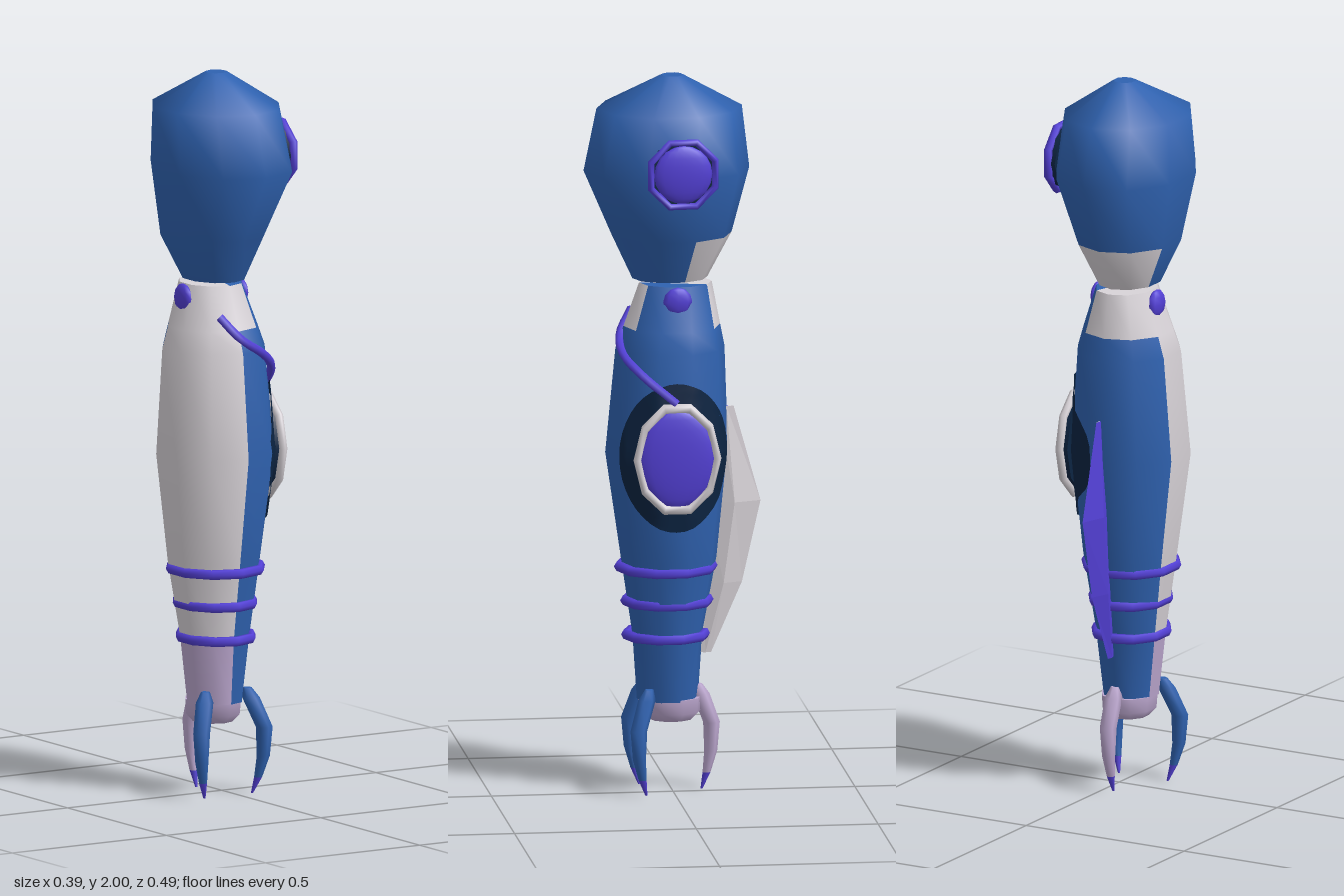
import * as THREE from 'three';

const mat = (name, color) => Object.assign(new THREE.MeshStandardMaterial({ color }), { name });

// Rows run top to bottom: [y, centreX, centreZ, radiusX, radiusZ].
// pick(row, facet) returns a material index; facet 0 starts at +z and turns toward +x.
function loft(rows, n, pick = () => 0, flat = false) {
  const pos = [], lists = [];
  const add = (m, ...ids) => (lists[m] ??= []).push(...ids);
  const ring = ([y, cx, cz, rx, rz]) => {
    for (let i = 0; i < n; i++) {
      const a = (i / n) * Math.PI * 2;
      pos.push(cx + rx * Math.sin(a), y, cz + rz * Math.cos(a));
    }
  };
  rows.forEach(ring);
  for (let r = 0; r < rows.length - 1; r++) {
    for (let i = 0; i < n; i++) {
      const j = (i + 1) % n, a = r * n + i, b = a + n, c = (r + 1) * n + j, d = r * n + j;
      add(pick(r, i), a, b, c, a, c, d);
    }
  }
  // end caps
  [rows[0], rows[rows.length - 1]].forEach((row, k) => {
    const base = pos.length / 3;
    ring(row);
    for (let i = 1; i < n - 1; i++) {
      const m = pick(k ? rows.length - 2 : 0, i);
      if (k) add(m, base, base + i + 1, base + i);
      else add(m, base, base + i, base + i + 1);
    }
  });
  let geo = new THREE.BufferGeometry();
  geo.setAttribute('position', new THREE.Float32BufferAttribute(pos, 3));
  const index = [];
  lists.forEach((l, m) => { geo.addGroup(index.length, l.length, m); index.push(...l); });
  geo.setIndex(index);
  if (flat) geo = geo.toNonIndexed();
  geo.computeVertexNormals();
  return geo;
}

export function createModel() {
  const group = new THREE.Group();
  group.name = 'mechanicalArm';
  const blue = mat('blue', 0x2f62b0), white = mat('paleGrey', 0xd8d3d8), purple = mat('purple', 0x5340d6);
  const lavender = mat('lavender', 0xbda8d0), navy = mat('navy', 0x0c2442);
  const add = (name, geo, material, x = 0, y = 0, z = 0) => {
    const m = new THREE.Mesh(geo, material);
    m.name = name;
    m.position.set(x, y, z);
    group.add(m);
    return m;
  };

  // Shoulder pod, with a pale patch low on the back
  const shoulder = [
    [2.0, -0.018, 0, 0.03, 0.03], [1.91, -0.024, 0.008, 0.172, 0.2], [1.74, -0.012, 0.017, 0.189, 0.228],
    [1.555, -0.033, 0, 0.14, 0.165], [1.432, -0.032, 0.005, 0.081, 0.103],
  ];
  add('shoulder', loft(shoulder, 10, (r, i) => (r === 3 && i >= 3 && i <= 6 ? 1 : 0)), [blue, white]);

  // Forearm: pale outer half, pale collar, lavender lower strip
  const forearm = [
    [1.42, -0.031, -0.01, 0.083, 0.1], [1.3, -0.03, 0, 0.124, 0.133], [1.24, -0.03, 0.005, 0.143, 0.15],
    [0.95, -0.03, 0.014, 0.166, 0.169], [0.655, -0.03, 0.007, 0.13, 0.133], [0.44, -0.03, 0.012, 0.098, 0.096],
    [0.26, -0.031, 0.012, 0.076, 0.084],
  ];
  add('forearm', loft(forearm, 10, (r, i) => {
    if (r === 0) return i >= 1 && i <= 3 ? 0 : 1;
    if (i < 7) return 0;
    return r === 5 ? 2 : 1;
  }), [blue, white, lavender]);

  // Wrist cup
  add('wrist', loft([[0.265, -0.031, 0.005, 0.076, 0.088], [0.225, -0.031, 0.003, 0.074, 0.084],
    [0.203, -0.031, 0.002, 0.055, 0.06]], 10), lavender);

  // Elbow pivots
  for (const x of [-0.122, 0.06]) {
    const g = new THREE.SphereGeometry(0.04, 8, 6);
    g.scale(0.4, 1, 1);
    add('elbowPivot', g, purple, x, 1.382, -0.005);
  }

  // Bracelets: [y, centreZ, radiusX, radiusZ]
  for (const [y, cz, rx, rz] of [[0.63, 0.015, 0.124, 0.129], [0.535, 0.012, 0.104, 0.116], [0.44, 0.016, 0.098, 0.11]]) {
    const g = new THREE.TorusGeometry(1, 0.12, 6, 10);
    g.rotateZ(Math.PI / 2).rotateX(Math.PI / 2).scale(rx, 0.12, rz);
    add('bracelet', g, purple, -0.03, y, cz);
  }

  // Dark oval hugging the +x side of the forearm
  const sideX = (y, z) => {
    let k = 0;
    while (k < forearm.length - 2 && forearm[k + 1][0] > y) k++;
    const p = forearm[k], q = forearm[k + 1], t = (p[0] - y) / (p[0] - q[0]);
    const [, cx, cz, rx, rz] = p.map((v, i) => v + (q[i] - v) * t);
    const c = THREE.MathUtils.clamp((z - cz) / rz / 1.02, -1, 1);
    const step = Math.PI / 5, a = Math.min(Math.floor(Math.acos(c) / step), 4) * step;
    const f = (Math.cos(a) - c) / (Math.cos(a) - Math.cos(a + step));
    return cx + 0.005 + rx * 1.01 * (Math.sin(a) + (Math.sin(a + step) - Math.sin(a)) * f);
  };
  const oval = new THREE.RingGeometry(0.3, 1, 40, 12);
  oval.rotateY(Math.PI / 2).scale(1, 0.208, 0.152);
  const op = oval.attributes.position;
  for (let i = 0; i < op.count; i++) op.setX(i, sideX(op.getY(i) + 0.957, op.getZ(i) + 0.004));
  oval.computeVertexNormals();
  add('darkOval', oval, navy, 0, 0.957, 0.004).material.side = THREE.DoubleSide;

  // Round gems framed by a hoop
  const gem = (name, n, hoopMat, [x, y, z], ry, rz, inner, tilt) => {
    const g = new THREE.Group();
    g.name = name;
    g.position.set(x, y, z);
    g.rotation.y = tilt;
    const hoop = new THREE.TorusGeometry(1, 0.1, 6, n);
    if (n === 8) hoop.rotateZ(Math.PI / 8);
    hoop.rotateY(Math.PI / 2).scale(0.12, ry, rz);
    const lens = new THREE.SphereGeometry(1, 16, 10);
    lens.scale(0.02, ry * inner, rz * inner);
    const back = new THREE.CylinderGeometry(1, 1, 0.02, n);
    back.rotateZ(-Math.PI / 2).scale(1, ry * 0.97, rz * 0.97);
    [[hoop, hoopMat, 'Hoop'], [lens, purple, 'Lens'], [back, navy, 'Backing']].forEach(([geo, m, s]) => {
      const mesh = new THREE.Mesh(geo, m);
      mesh.name = name + s;
      if (s === 'Backing') mesh.position.x = -0.012;
      g.add(mesh);
    });
    group.add(g);
  };
  gem('forearmGem', 10, white, [0.126, 0.957, 0.004], 0.147, 0.11, 0.93, 0);
  gem('shoulderGem', 8, purple, [0.174, 1.76, -0.006], 0.096, 0.096, 0.84, 0.06);

  // Cable over the front of the elbow
  const cable = new THREE.CatmullRomCurve3([
    [-0.075, 1.34, 0.105], [-0.03, 1.28, 0.142], [0.04, 1.235, 0.142], [0.1, 1.185, 0.095], [0.125, 1.11, 0.005],
  ].map((p) => new THREE.Vector3(...p)));
  add('cable', new THREE.TubeGeometry(cable, 16, 0.012, 6), purple);

  // Rear fin, pale on one side and purple on the other
  add('rearFin', loft([
    [1.07, -0.028, -0.15, 0.003, 0.02], [0.805, -0.028, -0.17, 0.024, 0.074],
    [0.58, -0.028, -0.14, 0.02, 0.053], [0.385, -0.028, -0.092, 0.004, 0.016],
  ], 4, (r, i) => (i < 2 ? 0 : 1), true), [white, purple]);

  // Curved claws: [y, outward reach, radius], ending in purple tips
  const claw = (name, dx, dz, material) => {
    const rows = [[0.298, 0.72, 0.012], [0.27, 0.8, 0.024], [0.19, 1.08, 0.023], [0.11, 1.06, 0.018],
      [0.05, 0.95, 0.011], [0.005, 0.82, 0.003]];
    add(name, loft(rows.map(([y, k, r]) => [y, -0.03 + dx * k, 0.004 + dz * k, r, r]), 6,
      (r) => (r === 4 ? 1 : 0)), [material, purple]);
  };
  for (const s of [-1, 1]) claw('frontClaw', s * 0.094, 0.092, blue);
  claw('rearClaw', 0, -0.105, lavender);

  return group;
}
